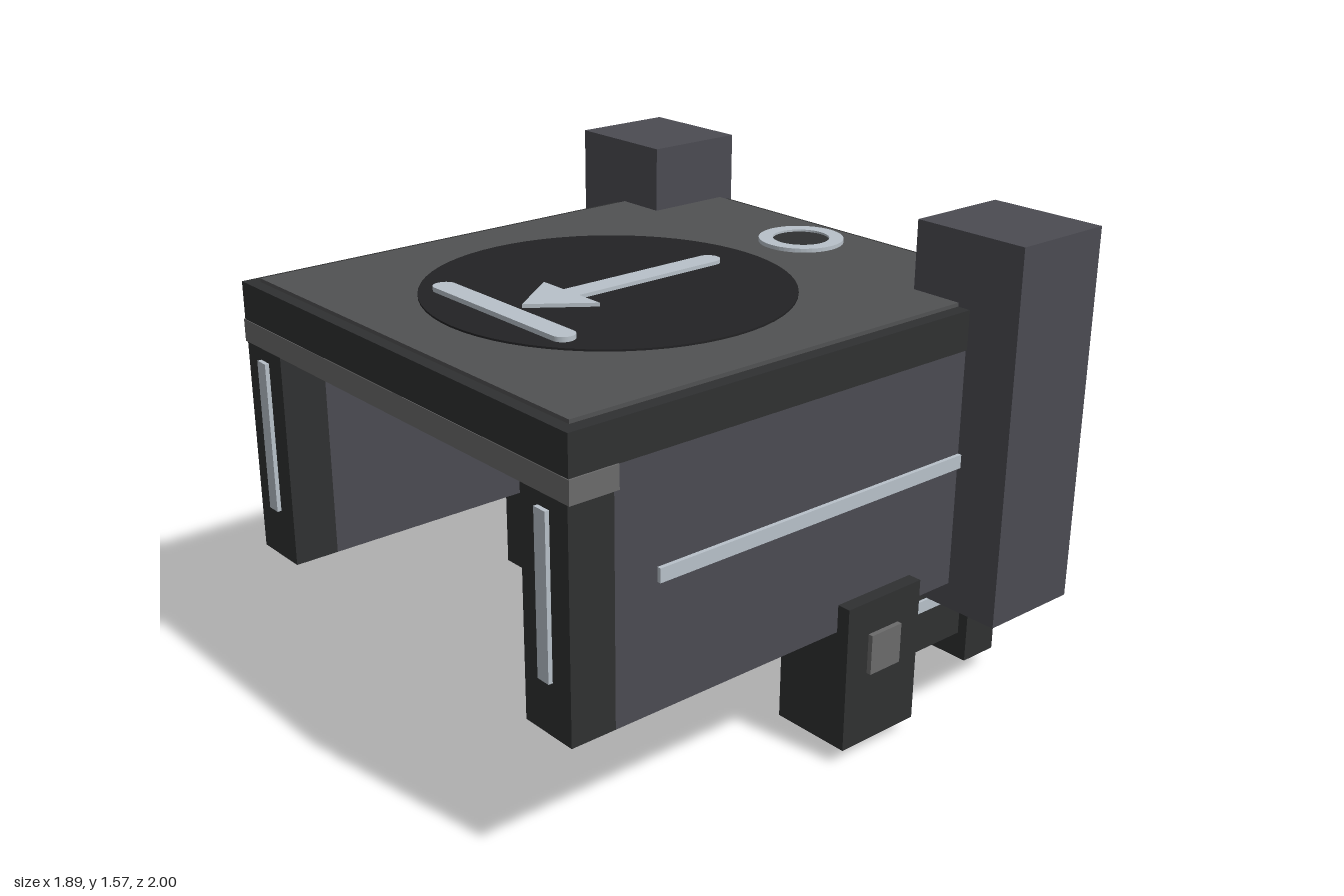
import * as THREE from 'three';

const mat = (color) => new THREE.MeshStandardMaterial({ color });

export function createModel() {
  const model = new THREE.Group();
  const panel = mat(0x4b4b52), dark = mat(0x2f3031), deck = mat(0x515253),
    grey = mat(0x6b6b6b), light = mat(0xb8c1c9), black = mat(0x222224);

  const add = (name, geometry, material) => {
    const mesh = new THREE.Mesh(geometry, material);
    mesh.name = name;
    model.add(mesh);
    return mesh;
  };
  // box given by its limits on each axis
  const box = (name, material, [x0, x1], [y0, y1], [z0, z1]) => {
    const mesh = add(name, new THREE.BoxGeometry(x1 - x0, y1 - y0, z1 - z0), material);
    mesh.position.set((x0 + x1) / 2, (y0 + y1) / 2, (z0 + z1) / 2);
    return mesh;
  };
  // the same box on the front and back sides
  const pair = (name, material, x, y, [z0, z1]) => {
    box(name + 'Front', material, x, y, [z0, z1]);
    box(name + 'Back', material, x, y, [-z1, -z0]);
  };
  // flat shape lying on the roof, raised to a small height
  const inlay = (name, shape, material, y0, y1) => {
    const geometry = new THREE.ExtrudeGeometry(shape, { depth: y1 - y0, bevelEnabled: false, curveSegments: 24 });
    geometry.rotateX(-Math.PI / 2);
    add(name, geometry, material).position.y = y0;
  };

  // roof
  box('roofSlab', dark, [-0.93, 0.91], [1.22, 1.345], [-0.82, 0.82]);
  box('roofPlate', deck, [-0.89, 0.87], [1.345, 1.357], [-0.775, 0.775]);
  box('endBeam', grey, [-0.932, -0.77], [1.15, 1.222], [-0.825, 0.825]);

  // roof markings
  const disc = add('roofDisc', new THREE.CylinderGeometry(0.575, 0.575, 0.01, 64), black);
  disc.position.set(-0.135, 1.358, 0);

  const bar = new THREE.Shape();
  bar.absarc(-0.533, 0.29, 0.037, 0, Math.PI);
  bar.absarc(-0.533, -0.29, 0.037, Math.PI, Math.PI * 2);
  bar.closePath();
  inlay('markerBar', bar, light, 1.36, 1.378);

  const arrow = new THREE.Shape();
  arrow.moveTo(-0.46, 0);
  arrow.lineTo(-0.277, -0.135);
  arrow.lineTo(-0.277, -0.038);
  arrow.absarc(0.272, 0, 0.038, -Math.PI / 2, Math.PI / 2);
  arrow.lineTo(-0.277, 0.038);
  arrow.lineTo(-0.277, 0.135);
  arrow.closePath();
  inlay('markerArrow', arrow, light, 1.36, 1.375);

  const ring = new THREE.Shape().absarc(0.685, 0, 0.14, 0, Math.PI * 2);
  ring.holes.push(new THREE.Path().absarc(0.685, 0, 0.093, 0, Math.PI * 2, true));
  inlay('markerRing', ring, light, 1.355, 1.37);
  const ringCentre = add('ringCentre', new THREE.CylinderGeometry(0.094, 0.094, 0.01, 40), dark);
  ringCentre.position.set(0.685, 1.358, 0);

  // side walls with end posts and light strips
  pair('sideWall', panel, [-0.78, 0.6], [0.445, 1.22], [0.615, 0.815]);
  pair('endPost', dark, [-0.93, -0.78], [0.445, 1.22], [0.615, 0.815]);
  pair('wallStrip', light, [-0.635, 0.58], [0.842, 0.886], [0.81, 0.828]);
  pair('endPostStrip', light, [-0.944, -0.925], [0.61, 1.11], [0.69, 0.738]);

  // towers
  pair('tower', panel, [0.57, 0.925], [0.36, 1.575], [0.6, 1]);
  pair('towerStrip', light, [0.92, 0.938], [0.8, 1.345], [0.737, 0.866]);
  pair('towerBadge', grey, [0.92, 0.942], [0.53, 0.65], [0.717, 0.883]);

  // rails beneath the roof
  for (const z of [-0.53, 0.53]) {
    const rod = add('ceilingRail', new THREE.CylinderGeometry(0.021, 0.021, 1.57, 16), grey);
    rod.rotation.z = Math.PI / 2;
    rod.position.set(0.03, 1.113, z);
  }

  // floor and its side beams
  box('floor', deck, [0.3, 0.91], [0.295, 0.44], [-0.6, 0.6]);
  pair('sideBeam', dark, [0.36, 0.8], [0.148, 0.443], [0.595, 0.7]);
  pair('beamStrip', light, [0.455, 0.702], [0.295, 0.336], [0.69, 0.71]);

  // feet and clamps
  pair('innerFoot', dark, [0.07, 0.38], [0.055, 0.535], [0.585, 0.86]);
  pair('innerFootBadge', grey, [0.16, 0.287], [0.293, 0.425], [0.855, 0.876]);
  pair('outerFoot', dark, [0.78, 0.92], [0.057, 0.365], [0.585, 0.735]);
  pair('outerFootBadge', grey, [0.82, 0.872], [0.3, 0.36], [0.73, 0.746]);
  pair('footClamp', dark, [0.88, 0.936], [0.145, 0.47], [0.59, 0.68]);

  // roller under the floor
  box('rollerMount', dark, [0.445, 0.78], [0.078, 0.297], [-0.27, 0.27]);
  const roller = add('roller', new THREE.CylinderGeometry(0.056, 0.056, 1.056, 32), grey);
  roller.rotation.x = Math.PI / 2;
  roller.position.set(0.613, 0.06, 0);

  return model;
}
